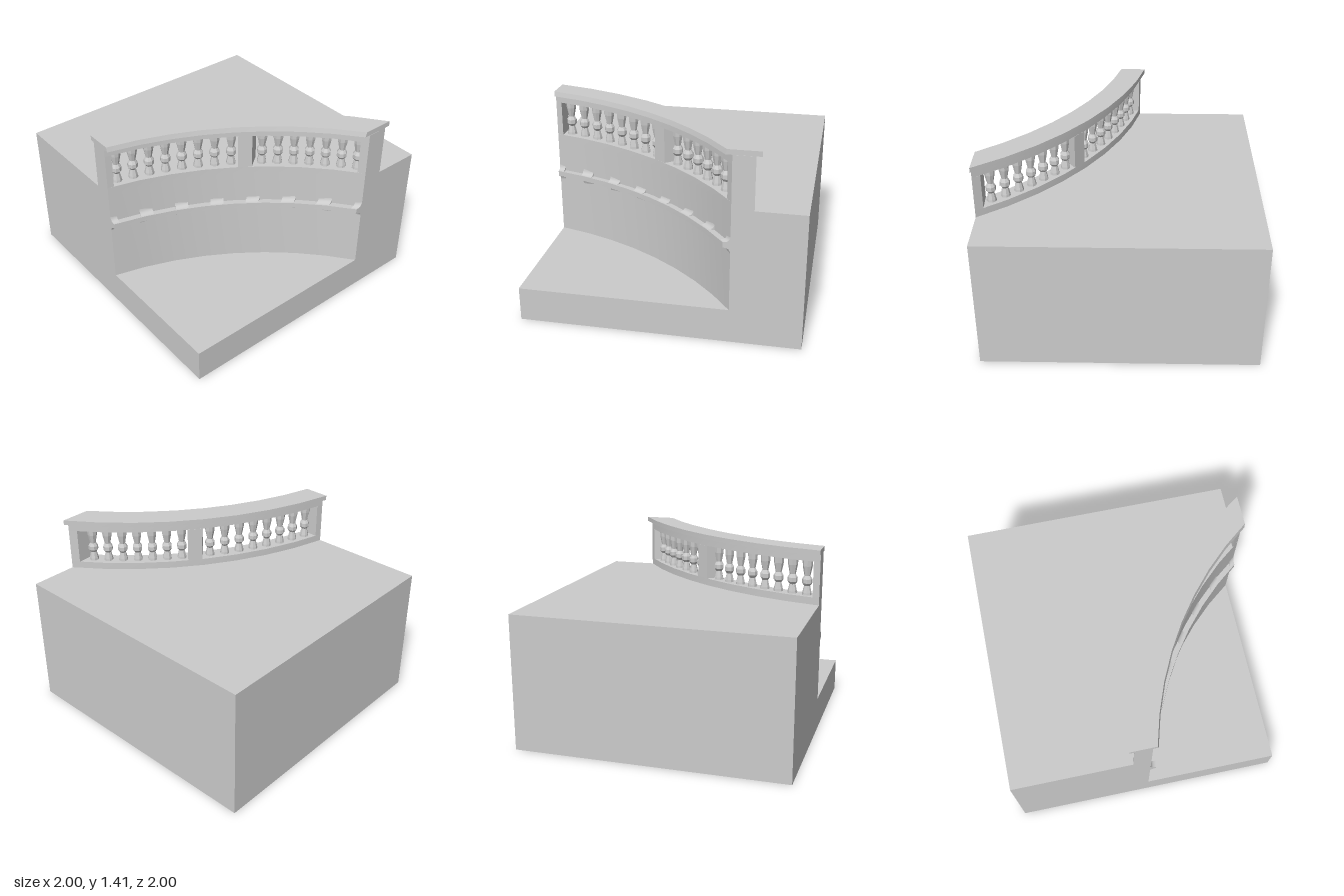
import * as THREE from 'three';
import { toCreasedNormals } from 'three/addons/utils/BufferGeometryUtils.js';

// Centre of the wall's arc on plan, and the radii of its two faces
const CX = 2.485, CZ = 1.574;
const FRONT = 2.55, BACK = 2.675;
const SEGMENTS = 8;

const material = new THREE.MeshStandardMaterial({ color: 0xcccccc });

// Point on the arc: t = 0 lies on the plane z = 1, t = 1 on the plane x = 1
function arcPoint(r, t) {
  const a0 = Math.asin((CZ - 1) / r), a1 = Math.acos((CX - 1) / r);
  const a = a0 + (a1 - a0) * t;
  return { x: CX - r * Math.cos(a), z: CZ - r * Math.sin(a), a };
}

function addMesh(parent, name, geometry) {
  const mesh = new THREE.Mesh(geometry, material);
  mesh.name = name;
  parent.add(mesh);
  return mesh;
}

// Sweep a profile of [radius, height] points along the arc, optionally rising with x
function sweep(profile, t0, t1, steps, rise = 0) {
  const shape = new THREE.Shape(profile.map(([r, y]) => new THREE.Vector2(r, y)));
  const geo = new THREE.ExtrudeGeometry(shape, { depth: 1, steps, bevelEnabled: false });
  const pos = geo.attributes.position;
  for (let i = 0; i < pos.count; i++) {
    const p = arcPoint(pos.getX(i), t0 + (t1 - t0) * pos.getZ(i));
    pos.setXYZ(i, p.x, pos.getY(i) + rise * p.x, p.z);
  }
  return toCreasedNormals(geo, 0.5);
}

const rect = (r0, r1, y0, y1) => [[r0, y0], [r1, y0], [r1, y1], [r0, y1]];

// Concave quarter-round between the wall and the ledge
function coveProfile(yWall, yLedge) {
  const depth = 0.036, points = [[FRONT + 0.01, yLedge], [FRONT + 0.01, yWall]];
  for (let i = 0; i <= 4; i++) {
    const a = (i / 4) * Math.PI / 2;
    points.push([
      FRONT - depth * (1 - Math.cos(a)),
      yWall + (yLedge - yWall) * Math.sin(a),
    ]);
  }
  return points;
}

export function createModel() {
  const model = new THREE.Group();

  // Low floor slab
  const floor = addMesh(model, 'floorSlab', new THREE.BoxGeometry(2, 0.25, 2));
  floor.position.y = 0.125;

  // Raised ground with the concave retaining wall cut into it
  const plan = [[1, -1], [-1, -1], [-1, 1]];
  for (let i = 0; i <= SEGMENTS; i++) {
    const p = arcPoint(FRONT, i / SEGMENTS);
    plan.push([p.x, p.z]);
  }
  const groundShape = new THREE.Shape(plan.map(([x, z]) => new THREE.Vector2(x, -z)));
  const ground = new THREE.ExtrudeGeometry(groundShape, { depth: 0.75, bevelEnabled: false });
  ground.rotateX(-Math.PI / 2).translate(0, 0.25, 0);
  addMesh(model, 'raisedGround', toCreasedNormals(ground, 0.5));

  // Projecting ledge with small coved brackets above and below
  addMesh(model, 'ledge', sweep(rect(2.508, FRONT + 0.01, 0.72, 0.76), 0, 1, SEGMENTS));
  const brackets = new THREE.Group();
  brackets.name = 'ledgeBrackets';
  model.add(brackets);
  for (let i = 0; i <= 7; i++) {
    const t0 = Math.max(0, i / 7 - 0.026), t1 = Math.min(1, i / 7 + 0.026);
    addMesh(brackets, 'upperBracket', sweep(coveProfile(0.8, 0.76), t0, t1, 1));
    addMesh(brackets, 'lowerBracket', sweep(coveProfile(0.68, 0.72), t0, t1, 1));
  }

  // Parapet: base course, posts, top rail and overhanging coping
  const openings = [
    { from: 0.025, to: 0.509, count: 8 },
    { from: 0.563, to: 0.969, count: 7 },
  ];
  addMesh(model, 'parapetBase', sweep(rect(FRONT, BACK, 1, 1.053), 0, 1, SEGMENTS));
  addMesh(model, 'topRail', sweep(rect(FRONT, BACK, 1.313, 1.375), 0, 1, SEGMENTS));
  const posts = [[0, openings[0].from], [openings[0].to, openings[1].from], [openings[1].to, 1]];
  for (const [t0, t1] of posts) {
    addMesh(model, 'post', sweep(rect(FRONT, BACK, 1.053, 1.313), t0, t1, 1));
  }
  const coping = [[2.514, 1.368], [2.707, 1.368], [2.707, 1.404], [2.522, 1.404]];
  addMesh(model, 'coping', sweep(coping, 0, 1, SEGMENTS, 0.008));

  // Faceted balusters, evenly spaced in each opening
  const turned = [
    [0.036, 1.05], [0.034, 1.07], [0.022, 1.12], [0.037, 1.14], [0.037, 1.17],
    [0.022, 1.195], [0.036, 1.265], [0.038, 1.316],
  ].map(([r, y]) => new THREE.Vector2(r, y));
  const balusterGeometry = toCreasedNormals(new THREE.LatheGeometry(turned, 8), 0.1);
  const balusters = new THREE.Group();
  balusters.name = 'balusters';
  model.add(balusters);
  for (const { from, to, count } of openings) {
    for (let i = 0; i < count; i++) {
      const p = arcPoint((FRONT + BACK) / 2, from + (to - from) * (i + 0.5) / count);
      const baluster = addMesh(balusters, 'baluster', balusterGeometry);
      baluster.position.set(p.x, 0, p.z);
      baluster.rotation.y = -p.a + Math.PI / 8;
    }
  }

  return model;
}
